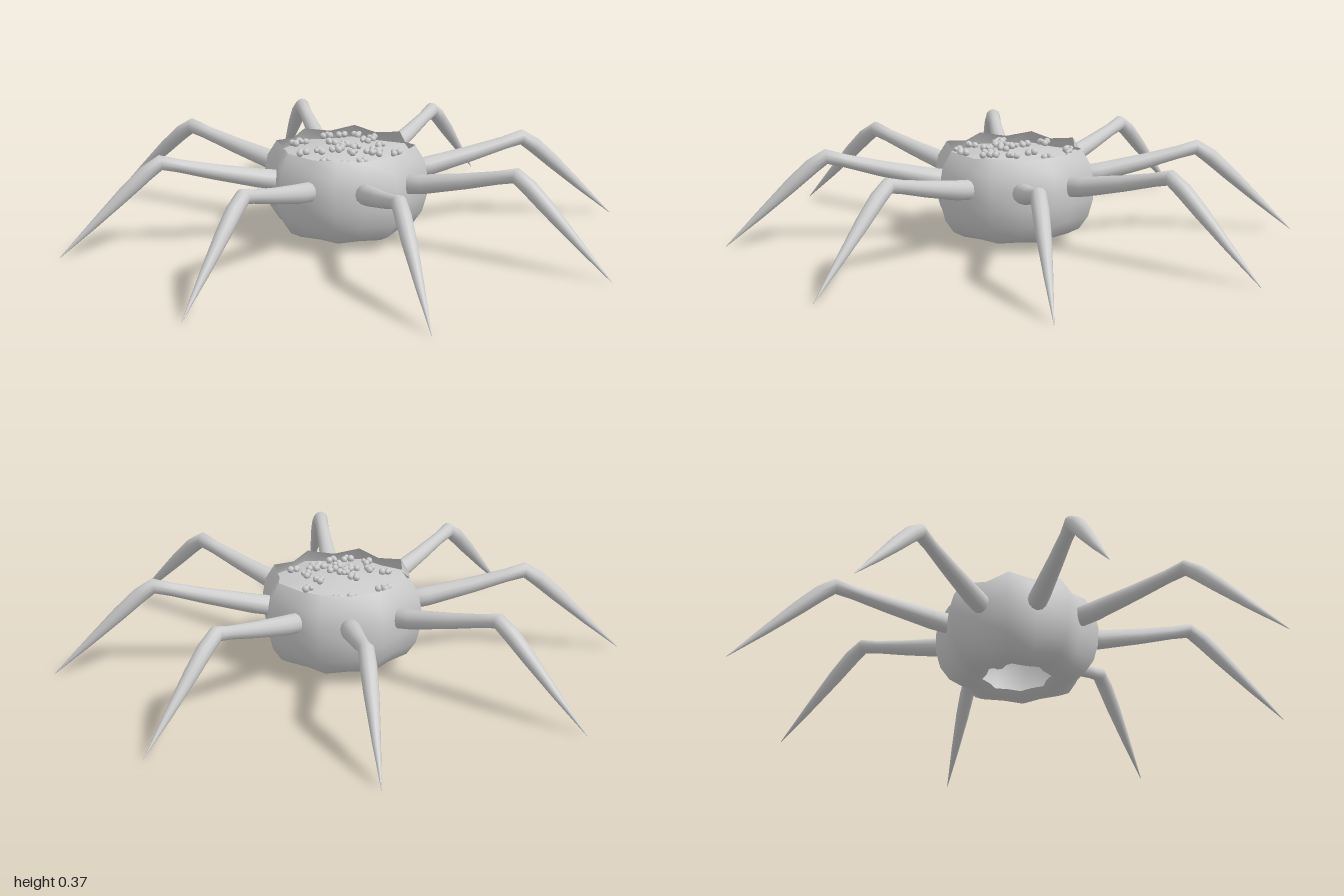
import * as THREE from 'three';
import { mergeVertices } from 'three/addons/utils/BufferGeometryUtils.js';

const grey = new THREE.MeshStandardMaterial({ color: 0xcccccc });
const greyDouble = new THREE.MeshStandardMaterial({ color: 0xcccccc, side: THREE.DoubleSide });

// Weld seams and recompute smooth normals
function smooth(geometry) {
  geometry.deleteAttribute('uv');
  geometry.deleteAttribute('normal');
  const g = mergeVertices(geometry, 1e-4);
  g.computeVertexNormals();
  return g;
}

// Revolved profile with eight ribs: every second column is pulled in
function ribbed(profile, valley, drop = 0) {
  const g = new THREE.LatheGeometry(profile.map(([r, y]) => new THREE.Vector2(r, y)), 16);
  const p = g.attributes.position;
  const rows = profile.length;
  for (let i = 0; i < p.count; i++) {
    const column = Math.floor(i / rows);
    if (column % 2 === 0) continue;
    p.setX(i, p.getX(i) * valley);
    p.setZ(i, p.getZ(i) * valley);
    if (i % rows === rows - 1) p.setY(i, p.getY(i) - drop);
  }
  return smooth(g);
}

// Tapered limb swept through sections [outward distance, height, radius]
function limb(sections) {
  const n = sections.length - 1;
  const g = new THREE.CylinderGeometry(1, 1, 1, 12, n);
  const p = g.attributes.position;
  for (let i = 0; i < p.count; i++) {
    const k = Math.round((p.getY(i) + 0.5) * n);
    const [r, y, radius] = sections[k];
    const before = sections[Math.max(k - 1, 0)];
    const after = sections[Math.min(k + 1, n)];
    const t = new THREE.Vector2(after[0] - before[0], after[1] - before[1]).normalize();
    const x = p.getX(i) * radius;
    p.setXYZ(i, r + x * t.y, y - x * t.x, p.getZ(i) * radius);
  }
  return smooth(g);
}

export function createModel() {
  const model = new THREE.Group();
  const add = (name, geometry, material, parent = model) => {
    const mesh = new THREE.Mesh(geometry, material);
    mesh.name = name;
    parent.add(mesh);
    return mesh;
  };

  // Hollow ribbed shell, open at the top and with a hole underneath
  add('pumpkinShell', ribbed([
    [0.13, 0.05], [0.165, 0.033], [0.21, 0.032], [0.255, 0.055], [0.29, 0.105],
    [0.308, 0.17], [0.31, 0.24], [0.297, 0.305], [0.262, 0.362],
  ], 0.885, 0.014), greyDouble);

  // Slightly domed filling just below the rim
  const fillHeight = (r) => 0.348 - 0.45 * r * r;
  add('filling', ribbed([0.287, 0.22, 0.15, 0.08, 0].map((r) => [r, fillHeight(r)]), 0.885), greyDouble);

  // Small clusters of crumbs scattered over the filling
  const crumbs = new THREE.Group();
  crumbs.name = 'crumbs';
  model.add(crumbs);
  const spots = [
    [-0.155, -0.17], [-0.05, -0.17], [-0.18, -0.12], [-0.2, -0.06], [-0.015, -0.105], [0.065, -0.11],
    [0.16, -0.115], [0.11, -0.06], [0.12, -0.02], [0.14, -0.045], [0.05, -0.01], [0, 0.01], [-0.06, 0.02],
    [0.09, 0.04], [0.18, 0.06], [0.165, 0.12], [0.03, 0.07], [0, 0.12], [0.09, 0.165], [-0.04, 0.17],
    [-0.18, 0.07], [-0.19, 0.1], [0.02, 0.035],
  ];
  const crumb = new THREE.SphereGeometry(0.013, 8, 6);
  spots.forEach(([x, z], i) => {
    const cluster = new THREE.Group();
    cluster.name = 'crumbCluster';
    cluster.position.set(x, fillHeight(Math.hypot(x, z)) + 0.007, z);
    cluster.rotation.y = i * 2.4;
    crumbs.add(cluster);
    [[-0.013, 0, 0, 1], [0.013, 0.002, 0.004, 1.05], [0.002, 0.004, -0.014, 0.75]].forEach(([cx, cy, cz, s]) => {
      const ball = add('crumb', crumb, grey, cluster);
      ball.position.set(cx, cy, cz);
      ball.scale.setScalar(s);
    });
  });

  // Eight jointed legs set in the grooves between the ribs
  const legGeometry = limb([
    [0.235, 0.233, 0.038], [0.33, 0.248, 0.037], [0.5, 0.285, 0.03], [0.63, 0.317, 0.025],
    [0.7, 0.335, 0.029], [0.755, 0.298, 0.03], [0.83, 0.231, 0.027], [0.95, 0.12, 0.016], [1.08, 0.001, 0.001],
  ]);
  for (let i = 0; i < 8; i++) {
    add('leg', legGeometry, grey).rotation.y = Math.PI / 8 + (i * Math.PI) / 4;
  }

  return model;
}
